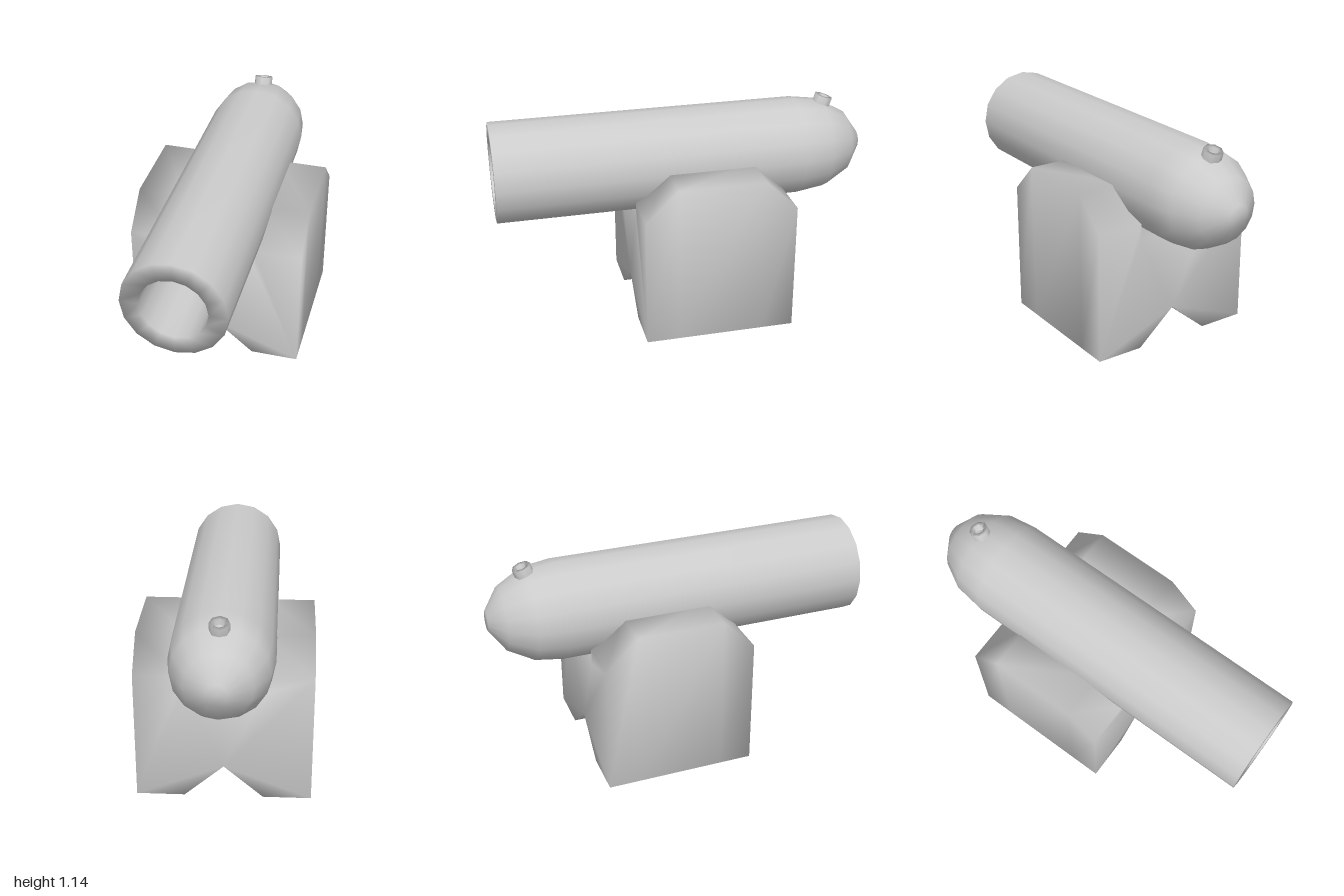
import * as THREE from 'three';
import { mergeVertices } from 'three/addons/utils/BufferGeometryUtils.js';

const material = new THREE.MeshStandardMaterial({ color: 0xcccccc });

function part(name, geometry) {
  const mesh = new THREE.Mesh(geometry, material);
  mesh.name = name;
  return mesh;
}

function lathe(profile, sides) {
  return new THREE.LatheGeometry(profile.map(([r, y]) => new THREE.Vector2(r, y)), sides);
}

// Yoke-shaped stand: front profile extruded along z, arms chamfered at both ends
function standGeometry() {
  const half = [[0, 0.18], [0.207, 0], [0.46, 0], [0.46, 0.865], [0.207, 0.865], [0.207, 0.615]];
  const mirrored = half.slice(1).reverse().map(([x, y]) => [-x, y]);
  const shape = new THREE.Shape([...half, ...mirrored].map(([x, y]) => new THREE.Vector2(x, y)));
  const geometry = new THREE.ExtrudeGeometry(shape, { depth: 3, steps: 3, bevelEnabled: false });

  const layers = [-0.515, -0.345, 0.115, 0.285];
  const p = geometry.attributes.position;
  for (let i = 0; i < p.count; i++) {
    const layer = Math.round(p.getZ(i));
    p.setZ(i, layers[layer]);
    if (layer === 0 || layer === 3) p.setY(i, Math.min(p.getY(i), 0.7));
  }
  // Shared corners give the soft shading
  geometry.deleteAttribute('uv');
  geometry.deleteAttribute('normal');
  const smooth = mergeVertices(geometry);
  smooth.computeVertexNormals();
  return smooth;
}

export function createModel() {
  const model = new THREE.Group();
  model.name = 'cannon';

  model.add(part('stand', standGeometry()));

  // Barrel: rounded breech at the back, open bore at the front
  const barrel = part('barrel', lathe([
    [0, -1], [0.053, -1], [0.168, -0.92], [0.243, -0.785], [0.264, -0.635],
    [0.264, 1], [0.169, 1], [0.169, -0.6], [0, -0.6],
  ], 16));
  barrel.rotation.x = Math.PI / 2;
  barrel.position.y = 0.857;
  model.add(barrel);

  // Small hollow vent leaning back on the breech
  const vent = part('vent', lathe([
    [0.05, -0.07], [0.05, 0.02], [0.028, 0.02], [0.028, -0.03], [0, -0.03],
  ], 8));
  vent.rotation.x = -0.33;
  vent.position.set(0, 1.108, -0.795);
  model.add(vent);

  return model;
}
